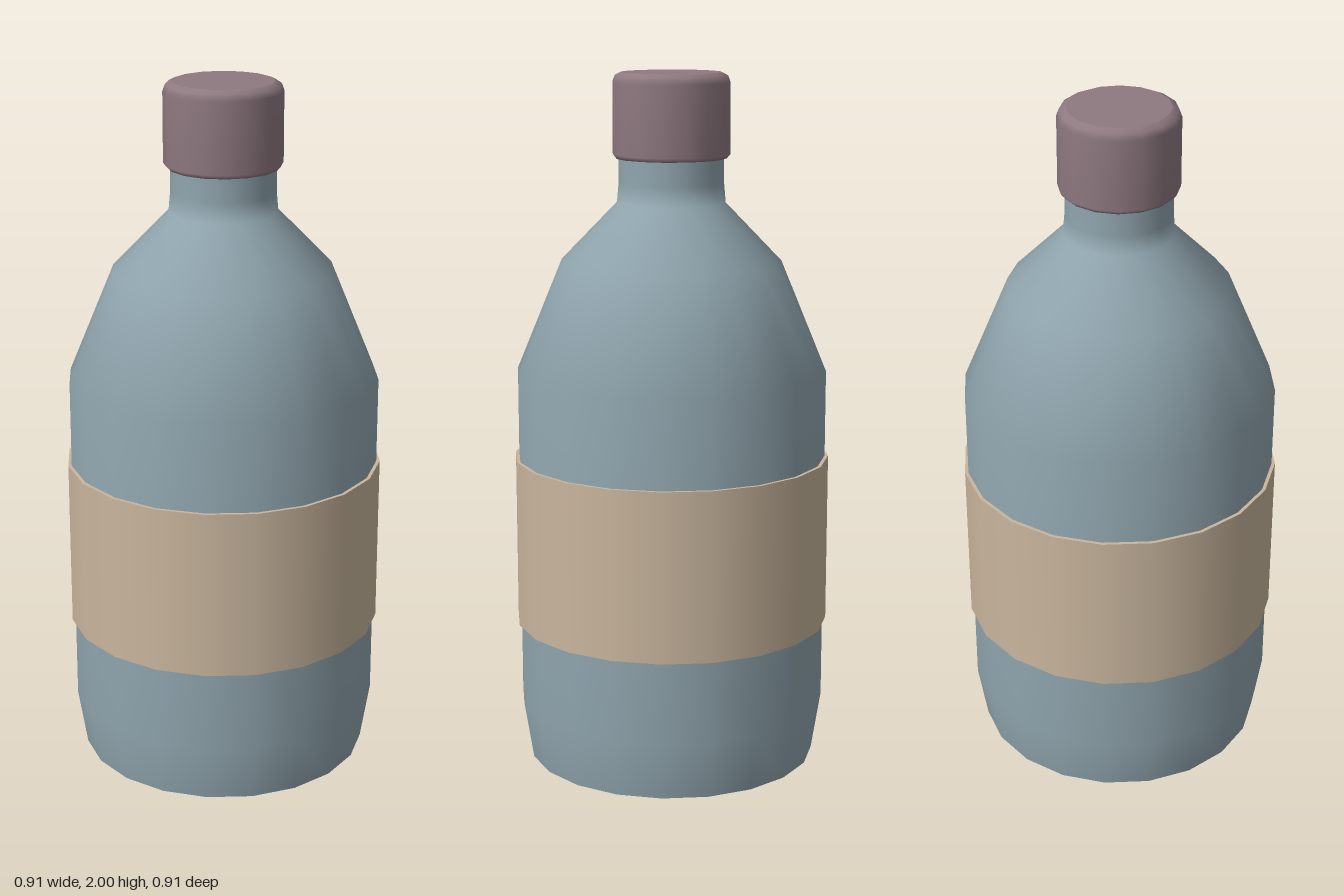
import * as THREE from 'three';

const material = (name, color) => {
  const m = new THREE.MeshStandardMaterial({ color });
  m.name = name;
  return m;
};

// Solid of revolution from [radius, height] pairs listed bottom to top
function turned(name, profile, sides, mat) {
  const points = profile.map(([r, y]) => new THREE.Vector2(r, y));
  const mesh = new THREE.Mesh(new THREE.LatheGeometry(points, sides), mat);
  mesh.name = name;
  return mesh;
}

// Flat ring or disc at height y, facing up or down
function flat(name, inner, outer, y, up, sides, mat) {
  const geometry = inner > 0
    ? new THREE.RingGeometry(inner, outer, sides)
    : new THREE.CircleGeometry(outer, sides);
  geometry.rotateX(up ? -Math.PI / 2 : Math.PI / 2);
  const mesh = new THREE.Mesh(geometry, mat);
  mesh.position.y = y;
  mesh.name = name;
  return mesh;
}

export function createModel() {
  const glass = material('blue grey glass', 0x8fa4ad);
  const paper = material('tan paper', 0xc8b59d);
  const plastic = material('mauve plastic', 0x8e7980);
  const group = new THREE.Group();
  group.name = 'bottle';

  // Bottle with tapered foot, sloping shoulders and narrow neck
  const body = [
    [0.42, 0], [0.447, 0.17], [0.447, 1.15], [0.315, 1.47],
    [0.155, 1.635], [0.15, 1.69], [0.15, 1.78],
  ];
  group.add(turned('body', body, 20, glass));
  group.add(flat('base', 0, 0.42, 0, false, 20, glass));

  // Label band with thin rims
  group.add(turned('label', [[0.457, 0.41], [0.457, 0.9]], 20, paper));
  group.add(flat('labelTopRim', 0.445, 0.457, 0.9, true, 20, paper));
  group.add(flat('labelBottomRim', 0.445, 0.457, 0.41, false, 20, paper));

  // Screw cap with softened edges
  const cap = [
    [0, 1.76], [0.158, 1.76], [0.168, 1.772], [0.168, 1.972],
    [0.161, 1.991], [0.143, 2],
  ];
  group.add(turned('cap', cap, 16, plastic));
  group.add(flat('capTop', 0, 0.143, 2, true, 16, plastic));

  return group;
}
